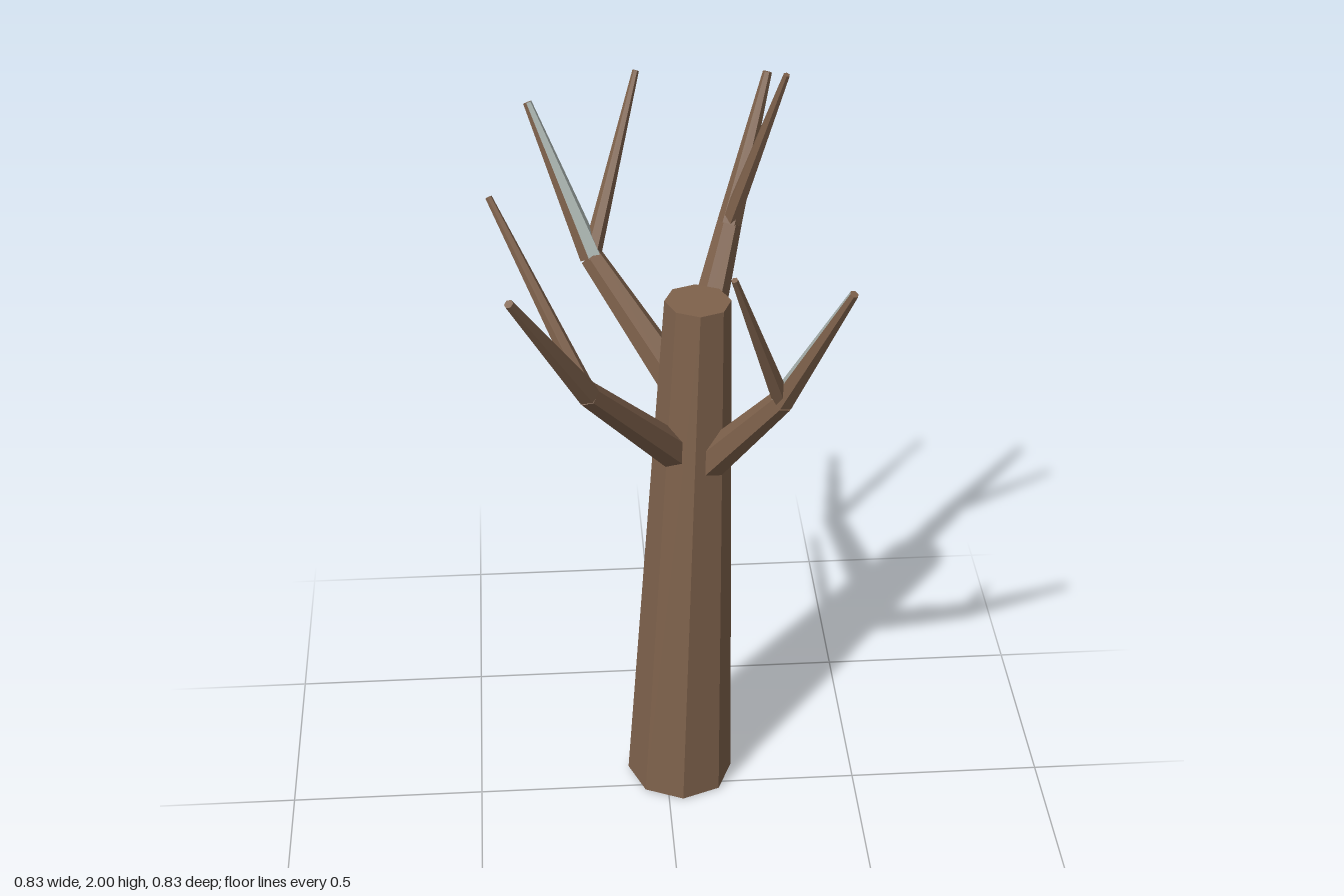
import * as THREE from 'three';

const bark = new THREE.MeshStandardMaterial({ color: 0x7f624c, flatShading: true });
bark.name = 'brown bark';
const pale = new THREE.MeshStandardMaterial({ color: 0xaab4b0, flatShading: true });
pale.name = 'pale grey bark';

// Tapered prism from a to b, with one corner turned towards ref
function taper(name, a, b, r0, r1, sides = 6, ref = [0, 1, 0], paleTop = false) {
  const start = new THREE.Vector3(...a);
  const end = new THREE.Vector3(...b);
  const axis = end.clone().sub(start);
  const length = axis.length();
  axis.normalize();
  const z = new THREE.Vector3(...ref);
  z.addScaledVector(axis, -z.dot(axis)).normalize();
  const x = new THREE.Vector3().crossVectors(axis, z);

  const geo = new THREE.CylinderGeometry(r1, r0, length, sides);
  geo.clearGroups();
  if (paleTop) {
    // the two faces beside the upper corner are pale
    for (let i = 0; i < sides; i++) geo.addGroup(i * 6, 6, i === 0 || i === sides - 1 ? 1 : 0);
    geo.addGroup(sides * 6, sides * 6, 0);
  }
  const mesh = new THREE.Mesh(geo, paleTop ? [bark, pale] : bark);
  mesh.name = name;
  mesh.quaternion.setFromRotationMatrix(new THREE.Matrix4().makeBasis(x, axis, z));
  mesh.position.addVectors(start, end).multiplyScalar(0.5);
  return mesh;
}

export function createModel() {
  const tree = new THREE.Group();
  tree.name = 'bareTree';

  // Leaning, cut-off trunk
  tree.add(taper('trunk', [0.037, 0.007, -0.071], [0.077, 1.45, -0.071], 0.139, 0.081, 8, [0, 0, 1]));

  // Each branch: a limb up to a fork, then a main tip and a side twig
  const branches = [
    { name: 'frontRightBranch', base: [0.02, 1.05, -0.03], fork: [-0.2, 1.375, 0.215], tip: [-0.372, 1.725, 0.405], twig: [-0.41, 1.8, 0.042] },
    { name: 'frontLeftBranch', base: [0.105, 1.02, -0.025], fork: [0.264, 1.275, 0.115], tip: [0.405, 1.63, 0.243], twig: [0.13, 1.695, 0.278], frosted: true },
    { name: 'backRightBranch', base: [0.03, 1.2, -0.11], fork: [-0.17, 1.48, -0.255], tip: [-0.313, 1.838, -0.378], twig: [-0.05, 1.9, -0.408], frosted: true },
    { name: 'backLeftBranch', base: [0.09, 1.3, -0.125], fork: [0.165, 1.575, -0.228], tip: [0.26, 1.922, -0.33], twig: [0.283, 2.0, -0.135] },
  ];
  for (const { name, base, fork, tip, twig, frosted } of branches) {
    const branch = new THREE.Group();
    branch.name = name;
    branch.add(
      taper('limb', base, fork, 0.046, 0.03),
      taper('mainTip', fork, tip, 0.03, 0.011, 6, [0, 1, 0], frosted),
      taper('sideTwig', fork, twig, 0.023, 0.008),
    );
    tree.add(branch);
  }
  return tree;
}
